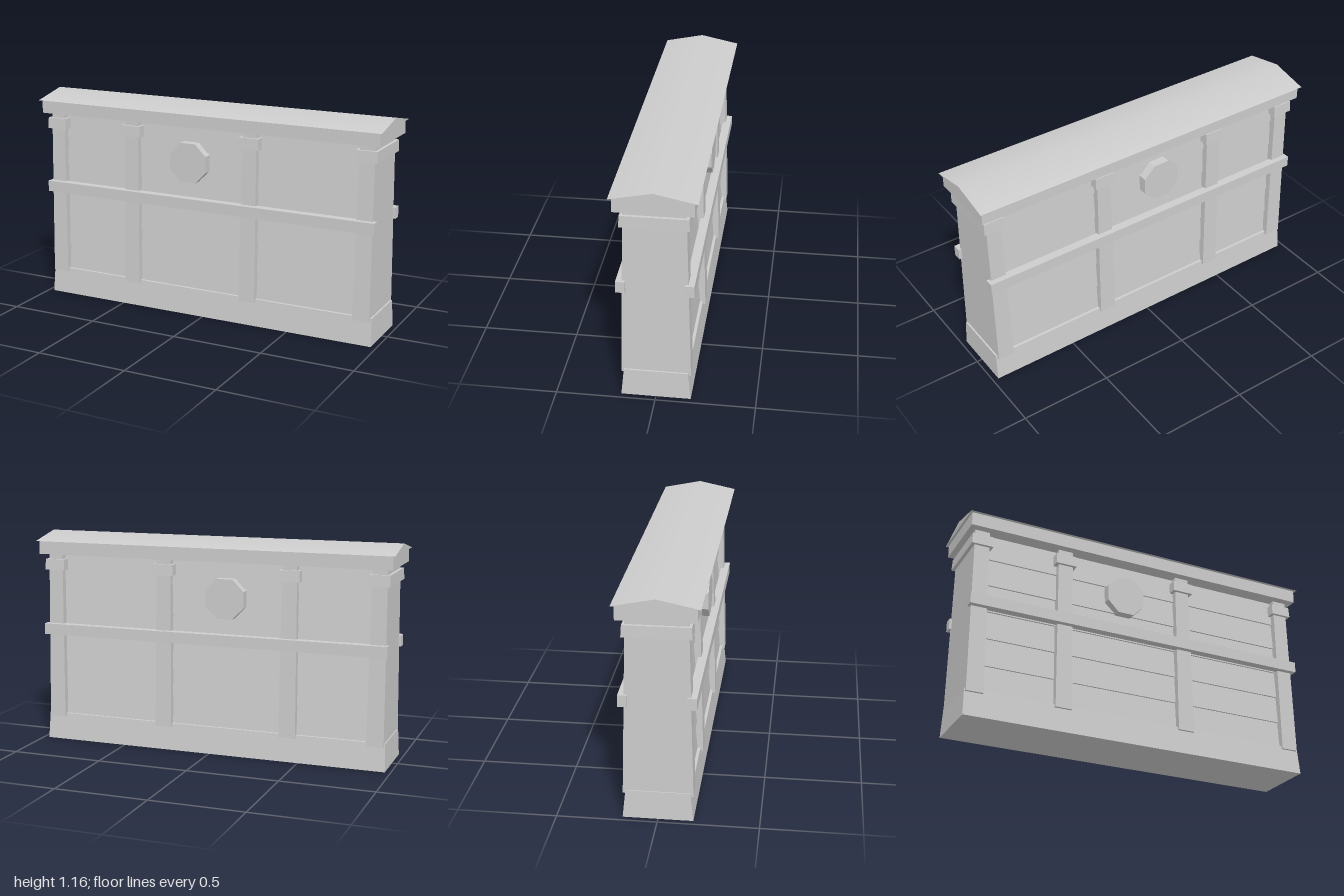
import * as THREE from 'three';

export function createModel() {
  const model = new THREE.Group();
  model.name = 'panelledWall';
  const grey = new THREE.MeshStandardMaterial({ color: 0xcccccc });
  grey.name = 'plain grey';

  function add(name, geometry, x = 0, y = 0, z = 0) {
    const mesh = new THREE.Mesh(geometry, grey);
    mesh.name = name;
    mesh.position.set(x, y, z);
    model.add(mesh);
    return mesh;
  }

  // Box between two heights whose top may be narrower than its bottom
  function taperedBox(y0, y1, w0, d0, w1 = w0, d1 = d0) {
    const g = new THREE.BoxGeometry(1, y1 - y0, 1).toNonIndexed();
    g.translate(0, (y0 + y1) / 2, 0);
    const p = g.attributes.position;
    for (let i = 0; i < p.count; i++) {
      const top = p.getY(i) > (y0 + y1) / 2;
      p.setX(i, p.getX(i) * (top ? w1 : w0));
      p.setZ(i, p.getZ(i) * (top ? d1 : d0));
    }
    g.computeVertexNormals();
    return g;
  }

  // Profile in (z, y) extruded along x, centred
  function extrudeAlongX(points, length) {
    const shape = new THREE.Shape(points.map(([z, y]) => new THREE.Vector2(z, y)));
    const g = new THREE.ExtrudeGeometry(shape, { depth: length, bevelEnabled: false });
    g.translate(0, 0, -length / 2);
    g.rotateY(Math.PI / 2);
    return g;
  }

  // Sloping plinth
  add('base', taperedBox(0, 0.147, 1.94, 0.35, 1.93, 0.32));

  // Overlapping boards, each with its lower edge standing proud
  const boards = 6, boardHeight = (1.06 - 0.14) / boards;
  const side = [];
  for (let i = 0; i < boards; i++) {
    const y = 0.14 + i * boardHeight;
    const z = 0.145 - 0.025 * (i / boards);
    side.push([z, y], [z - 0.013, y + boardHeight]);
  }
  const mirrored = side.map(([z, y]) => [-z, y]).reverse();
  add('boards', extrudeAlongX([...side, ...mirrored], 1.8));

  // Tapered pillars run right through the wall, each with a collar
  for (const x of [-0.914, -0.44, 0.265, 0.91]) {
    add('pillar', taperedBox(0.13, 1.055, 0.092, 0.348, 0.08, 0.3), x);
    add('pillarCollar', taperedBox(0.96, 1.02, 0.116, 0.336, 0.112, 0.328), x);
  }

  // Rails and blank octagonal plaques on both faces
  for (const s of [1, -1]) {
    add('rail', new THREE.BoxGeometry(1.94, 0.06, 0.046), 0, 0.631, s * 0.167);
    const plaque = new THREE.CylinderGeometry(0.115, 0.115, 0.068, 8).toNonIndexed();
    plaque.rotateY(Math.PI / 8);
    plaque.rotateX(Math.PI / 2);
    plaque.computeVertexNormals();
    add('plaque', plaque, -0.088, 0.852, s * 0.134);
  }

  // Cornice under the roof
  add('cornice', new THREE.BoxGeometry(1.976, 0.074, 0.386), 0, 1.087, 0);

  // Low gabled roof, smoothly shaded over the ridge
  const roof = extrudeAlongX([[-0.21, 1.122], [0.21, 1.122], [0, 1.165]], 2);
  const pos = roof.attributes.position, nor = roof.attributes.normal;
  for (let i = 0; i < pos.count; i++) {
    if (nor.getY(i) > 0.5 && pos.getY(i) > 1.15) nor.setXYZ(i, 0, 1, 0);
  }
  add('roof', roof);

  return model;
}
